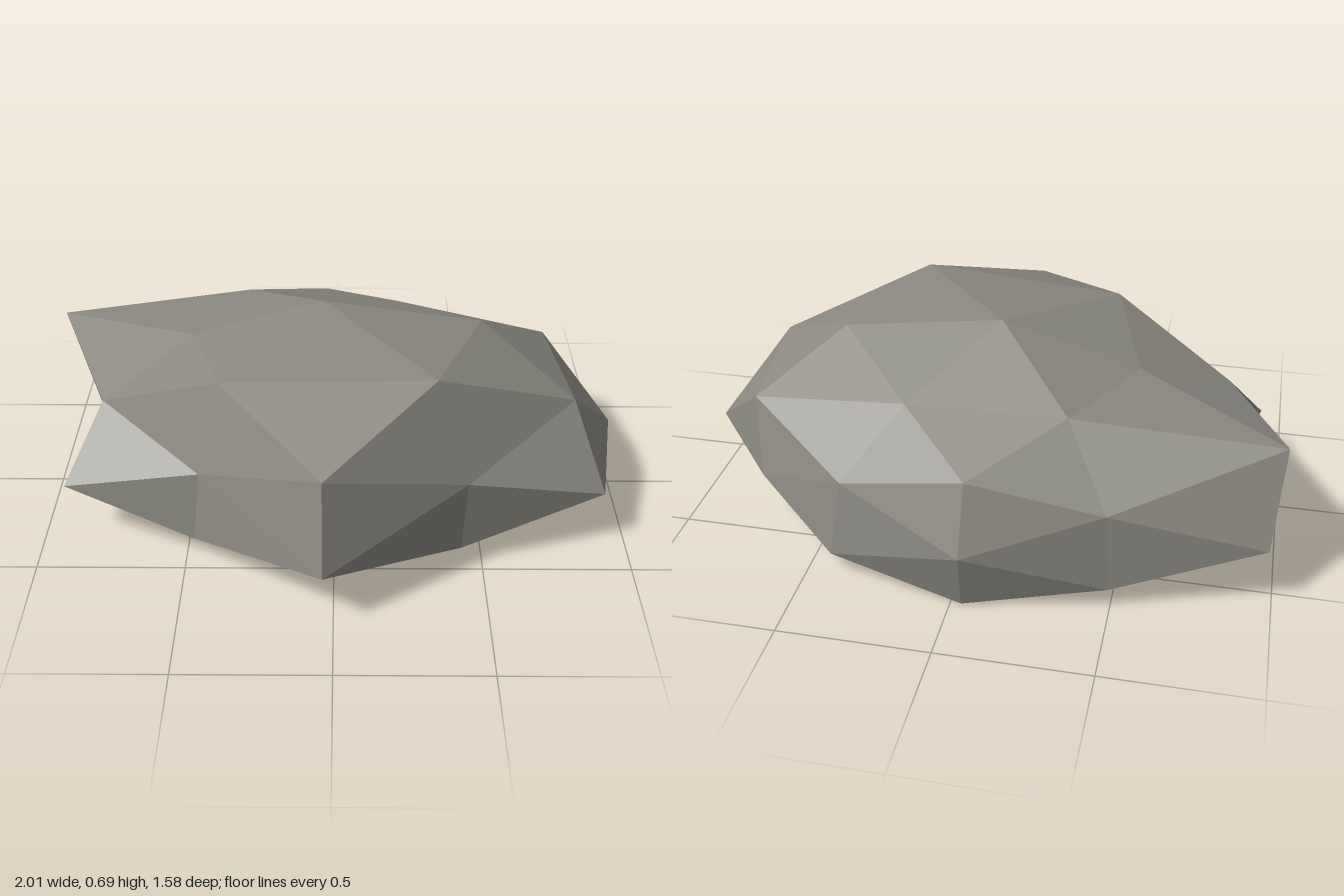
import * as THREE from 'three';

// Reach of each corner of a once-subdivided icosahedron.
// Key: dominant axis, then the signs of x, y and z. Corners not listed lie under the base.
const REACH = {
  // crown
  'y0+0': 0.89, 'y-+0': 0.763, 'y++0': 0.887,
  'y-++': 0.944, 'y+++': 1.02, 'y++-': 0.715, 'y-+-': 0.78,
  // shoulders
  'z0++': 1.058, 'z0+-': 0.775,
  'x-++': 0.805, 'x+++': 0.903, 'x++-': 0.85, 'x-+-': 1.025,
  'z+++': 0.808, 'z-++': 0.705, 'z++-': 0.725, 'z-+-': 0.75,
  // widest ring
  'x+00': 0.885, 'x-00': 0.68, 'z00+': 0.997, 'z00-': 0.763,
  'x+0+': 0.955, 'x-0+': 0.889, 'x+0-': 0.757, 'x-0-': 0.945,
  // underside rim
  'z+-+': 0.79, 'z--+': 0.745, 'z+--': 0.778, 'z---': 0.78,
  'z0-+': 0.70, 'z0--': 0.845,
  'x+-+': 0.75, 'x+--': 0.766, 'x--+': 0.76, 'x---': 0.82,
};

const CENTRE = new THREE.Vector3(-0.035, 0.2, -0.107);
const SIZE = new THREE.Vector3(1.17, 0.55, 0.9);

function cornerKey(v) {
  const parts = v.toArray();
  const mags = parts.map(Math.abs);
  const axis = 'xyz'[mags.indexOf(Math.max(...mags))];
  const signs = parts.map((c) => (Math.abs(c) < 0.01 ? '0' : c > 0 ? '+' : '-'));
  return axis + signs.join('');
}

export function createModel() {
  const model = new THREE.Group();
  model.name = 'rock';

  const stone = new THREE.MeshStandardMaterial({ color: 0x8a8880, flatShading: true });
  stone.name = 'stone grey';

  // Push every corner in or out, squash to a boulder and cut the base flat
  const geometry = new THREE.IcosahedronGeometry(1, 1);
  const position = geometry.attributes.position;
  const v = new THREE.Vector3();
  for (let i = 0; i < position.count; i++) {
    v.fromBufferAttribute(position, i);
    const reach = REACH[cornerKey(v)] ?? 0.8;
    v.multiplyScalar(reach).multiply(SIZE).add(CENTRE);
    position.setXYZ(i, v.x, Math.max(v.y, 0), v.z);
  }
  geometry.computeVertexNormals();

  const boulder = new THREE.Mesh(geometry, stone);
  boulder.name = 'boulder';
  model.add(boulder);
  return model;
}
